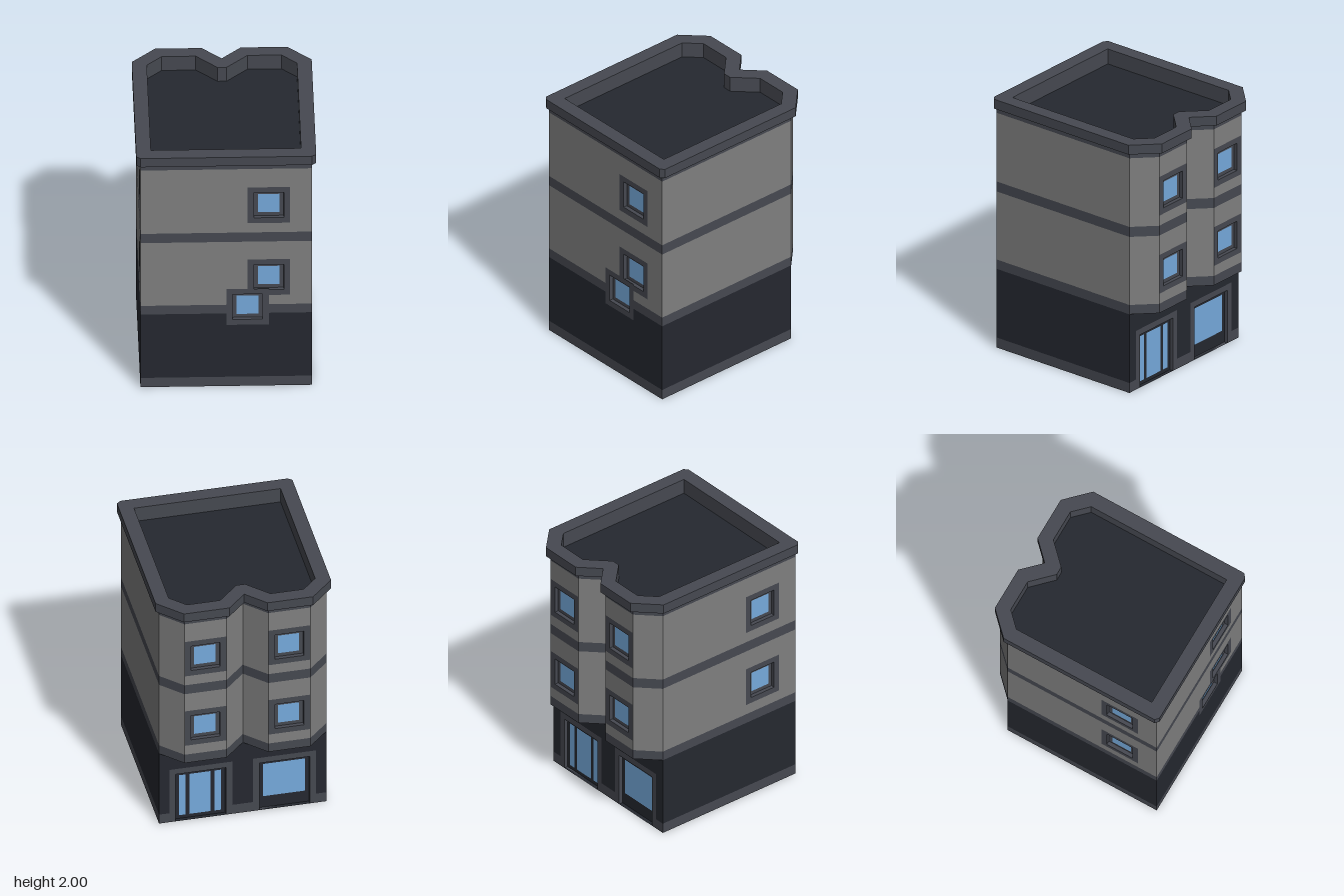
import * as THREE from 'three';
import { mergeGeometries } from 'three/addons/utils/BufferGeometryUtils.js';

const mat = (color) => new THREE.MeshStandardMaterial({ color, flatShading: true });
const MATS = { wall: mat(0x808080), trim: mat(0x464951), dark: mat(0x252830), glass: mat(0x76aadc) };
const DEPTH = 0.03; // how far windows sit back
const ROOF = 1.88;

// Horizontal colour bands: [bottom, top, material]
const BANDS = [
  [0, 0.08, 'trim'], [0.08, 0.63, 'dark'], [0.63, 0.705, 'trim'],
  [0.705, 1.25, 'wall'], [1.25, 1.33, 'trim'], [1.33, ROOF, 'wall'],
];

function mesh(name, geometry, material) {
  const m = new THREE.Mesh(geometry, MATS[material]);
  m.name = name;
  return m;
}

// Upright rectangle facing +z
function rect(x0, x1, y0, y1, z = 0) {
  return new THREE.PlaneGeometry(x1 - x0, y1 - y0).translate((x0 + x1) / 2, (y0 + y1) / 2, z);
}

// Openings: outer = flush surround, hole = recess, panes = glass rectangles
function smallWindow(u, y) {
  const box = (h) => [u - h, u + h, y - h, y + h];
  return { name: 'window', outer: box(0.155), hole: box(0.109), panes: [box(0.079)], back: 'trim' };
}
function groundOpening(name, u, panes) {
  return {
    name, outer: [u - 0.235, u + 0.235, 0, 0.47], hole: [u - 0.188, u + 0.188, 0, 0.423],
    panes: panes.map(([a, b, y0]) => [u + a, u + b, y0, 0.39]), back: 'dark',
  };
}

// Recessed back panel, glass and the four reveals of one opening
function recess({ name, hole: [x0, x1, y0, y1], panes, back }) {
  const g = new THREE.Group();
  g.name = name;
  const w = x1 - x0, h = y1 - y0, cx = (x0 + x1) / 2, cy = (y0 + y1) / 2, z = -DEPTH / 2;
  const reveals = [
    new THREE.PlaneGeometry(DEPTH, h).rotateY(Math.PI / 2).translate(x0, cy, z),
    new THREE.PlaneGeometry(DEPTH, h).rotateY(-Math.PI / 2).translate(x1, cy, z),
    new THREE.PlaneGeometry(w, DEPTH).rotateX(-Math.PI / 2).translate(cx, y0, z),
    new THREE.PlaneGeometry(w, DEPTH).rotateX(Math.PI / 2).translate(cx, y1, z),
  ];
  g.add(mesh('reveal', mergeGeometries(reveals), 'trim'));
  g.add(mesh('innerFrame', rect(x0, x1, y0, y1, -DEPTH), back));
  g.add(mesh('glass', mergeGeometries(panes.map((p) => rect(...p, -DEPTH + 0.002))), 'glass'));
  return g;
}

// Flat facade from a to b (left to right seen from outside), tiled around its openings
function facade(name, [ax, az], [bx, bz], bottom, top, openings = []) {
  const g = new THREE.Group();
  g.name = name;
  const width = Math.hypot(bx - ax, bz - az);
  const sorted = (list, lo, hi) => [...new Set(list)].filter((v) => v >= lo && v <= hi).sort((p, q) => p - q);
  const us = [0, width], ys = [bottom, top, ...BANDS.flatMap((b) => [b[0], b[1]])];
  for (const o of openings) for (const r of [o.outer, o.hole]) {
    us.push(r[0], r[1]);
    ys.push(r[2], r[3]);
  }
  const U = sorted(us, 0, width), Y = sorted(ys, bottom, top);
  const cells = { wall: [], trim: [], dark: [] };
  const inside = (r, u, y) => u > r[0] && u < r[1] && y > r[2] && y < r[3];
  for (let i = 0; i < U.length - 1; i++) for (let j = 0; j < Y.length - 1; j++) {
    const u = (U[i] + U[i + 1]) / 2, y = (Y[j] + Y[j + 1]) / 2;
    let kind = BANDS.find((b) => y < b[1])[2];
    for (const o of openings) {
      if (inside(o.hole, u, y)) kind = null;
      else if (inside(o.outer, u, y)) kind = 'trim';
    }
    if (kind) cells[kind].push(rect(U[i], U[i + 1], Y[j], Y[j + 1]));
  }
  for (const [kind, list] of Object.entries(cells)) {
    if (list.length) g.add(mesh(name + '_' + kind, mergeGeometries(list), kind));
  }
  openings.forEach((o) => g.add(recess(o)));
  g.position.set(ax, 0, az);
  g.rotation.y = Math.atan2(az - bz, bx - ax);
  return g;
}

// Plan outlines: right half given from front to back, then mirrored
const plan = (half) => {
  const left = half.filter((p) => p[0] > 0).reverse().map(([x, z]) => [-x, z]);
  return [...half, ...left].map(([x, z]) => new THREE.Vector2(x, -z));
};
function ring(name, outer, inner, y0, y1) {
  const shape = new THREE.Shape(plan(outer));
  shape.holes.push(new THREE.Path(plan(inner)));
  const geo = new THREE.ExtrudeGeometry(shape, { depth: y1 - y0, bevelEnabled: false });
  return mesh(name, geo.rotateX(-Math.PI / 2).translate(0, y0, 0), 'trim');
}
function slab(name, points, y, down) {
  const geo = new THREE.ShapeGeometry(new THREE.Shape(points)).rotateX(-Math.PI / 2).translate(0, y, 0);
  const m = mesh(name, geo, 'dark');
  if (down) {
    m.material = MATS.dark.clone();
    m.material.side = THREE.DoubleSide;
  }
  return m;
}

export function createModel() {
  const model = new THREE.Group();
  model.name = 'cornerBuilding';

  const body = [[0.625, 0.705], [0.625, -0.545], [0.47, -0.7], [0.155, -0.7], [0, -0.545]];
  const coping = [[0.625, 0.73], [0.655, 0.705], [0.655, -0.562], [0.482, -0.735], [0.142, -0.735], [0, -0.593]];
  const inner = [[0.547, 0.62], [0.547, -0.517], [0.436, -0.628], [0.188, -0.628], [0.033, -0.473]];
  const [fr, br, b1, b2, notch] = body;
  const flip = ([x, z]) => [-x, z];

  // Front and side walls
  model.add(facade('frontWall', flip(fr), fr, 0, ROOF,
    [smallWindow(0.935, 1.565), smallWindow(0.935, 0.94), smallWindow(0.78, 0.685)]));
  model.add(facade('leftWall', fr, br, 0, ROOF));
  model.add(facade('rightWall', flip(br), flip(fr), 0, ROOF,
    [smallWindow(0.94, 1.565), smallWindow(0.94, 0.94)]));

  // Ground floor at the back: entrance and shop window
  model.add(facade('backGroundWall', br, flip(br), 0, 0.63, [
    groundOpening('entrance', 0.3125, [[-0.157, -0.109, 0.03], [-0.079, 0.079, 0.03], [0.109, 0.157, 0.03]]),
    groundOpening('shopWindow', 0.9375, [[-0.157, 0.157, 0.1]]),
  ]));

  // Two overhanging bays with a notch between them
  const bays = [br, b1, b2, notch, flip(b2), flip(b1), flip(br)];
  for (let i = 0; i < bays.length - 1; i++) {
    const windows = i === 1 || i === 4 ? [smallWindow(0.1575, 1.565), smallWindow(0.1575, 0.94)] : [];
    model.add(facade('bayFace' + (i + 1), bays[i], bays[i + 1], 0.63, ROOF, windows));
  }
  for (const s of [1, -1]) {
    const pts = [br, b1, b2, notch].map(([x, z]) => new THREE.Vector2(s * x, -z));
    model.add(slab('baySoffit', pts, 0.63, true));
  }

  // Parapet, roof and underside
  model.add(ring('parapetBand', body, inner, ROOF, 1.925));
  model.add(ring('parapetCoping', coping, inner, 1.925, 2));
  model.add(slab('roof', plan(inner), ROOF, false));
  model.add(slab('underside', plan([fr, br]), 0, true));
  return model;
}
